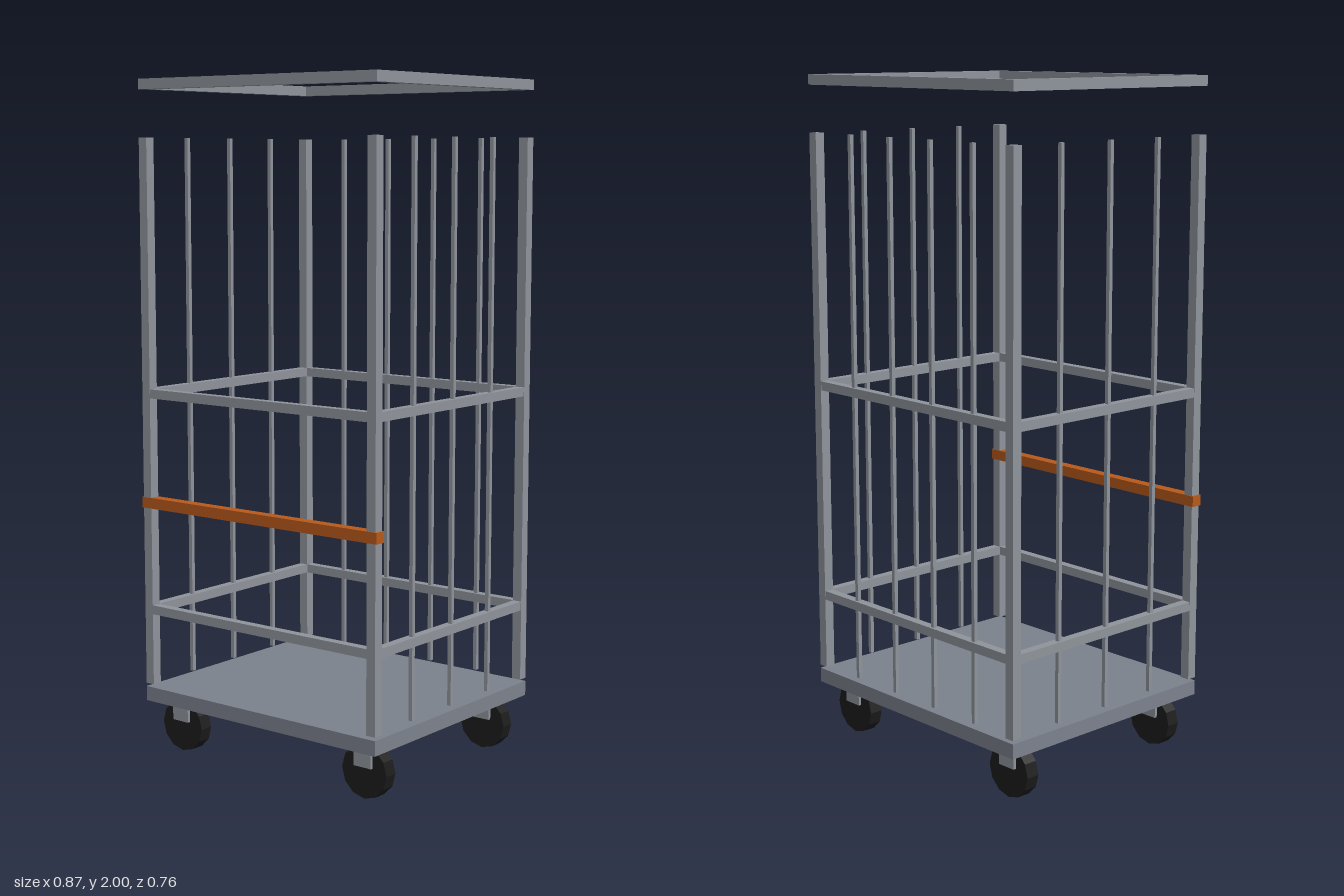
import * as THREE from 'three';

const steel = new THREE.MeshStandardMaterial({ color: 0x8f949b });
const slate = new THREE.MeshStandardMaterial({ color: 0x7c828d });
const orange = new THREE.MeshStandardMaterial({ color: 0xb8591a });
const rubber = new THREE.MeshStandardMaterial({ color: 0x1c1c1c, flatShading: true });

const W = 0.864, D = 0.756; // outer footprint
const T = 0.03;             // frame tube thickness
const PX = (W - T) / 2, PZ = (D - T) / 2; // post centre lines

export function createModel() {
  const root = new THREE.Group();
  root.name = 'rollCage';

  const box = (name, w, h, d, x, y, z, material = steel) => {
    const mesh = new THREE.Mesh(new THREE.BoxGeometry(w, h, d), material);
    mesh.name = name;
    mesh.position.set(x, y, z);
    root.add(mesh);
  };

  // Platform
  box('deck', W, 0.044, D, 0, 0.177, 0, slate);

  // Corner posts and casters (wheels roll along x)
  const wheelGeometry = new THREE.CylinderGeometry(0.078, 0.078, 0.042, 12).rotateX(Math.PI / 2);
  for (const sx of [-1, 1]) {
    for (const sz of [-1, 1]) {
      box('cornerPost', T, 1.624, T, sx * PX, 1.021, sz * PZ);
      box('casterBracket', 0.06, 0.063, 0.06, sx * 0.346, 0.1245, sz * 0.293);
      const wheel = new THREE.Mesh(wheelGeometry, rubber);
      wheel.name = 'casterWheel';
      wheel.position.set(sx * 0.346, 0.078, sz * 0.293);
      root.add(wheel);
    }
  }

  // Horizontal rails between the posts on all four sides
  for (const y of [0.438, 1.088]) {
    for (const s of [-1, 1]) {
      box('crossRail', W - 2 * T, 0.027, 0.027, 0, y, s * PZ);
      box('sideRail', 0.027, 0.027, D - 2 * T, s * PX, y, 0);
    }
  }

  // Thin upright bars on the back and both sides; the front stays open
  const bar = (name, x, z) => box(name, 0.012, 1.624, 0.012, x, 1.021, z);
  for (let i = 1; i < 5; i++) bar('backBar', -W / 2 + (i * W) / 5, -PZ);
  for (let i = 1; i < 4; i++) {
    for (const s of [-1, 1]) bar('sideBar', s * PX, -D / 2 + (i * D) / 4);
  }

  // Top frame, set above the posts
  for (const s of [-1, 1]) {
    box('topFrameRail', W, T, T, 0, 1.985, s * PZ);
    box('topFrameSide', T, T, D - 2 * T, s * PX, 1.985, 0);
  }

  // Orange retaining bar across the front
  box('frontBar', W + 0.01, 0.032, T + 0.004, 0, 0.762, PZ, orange);

  return root;
}
